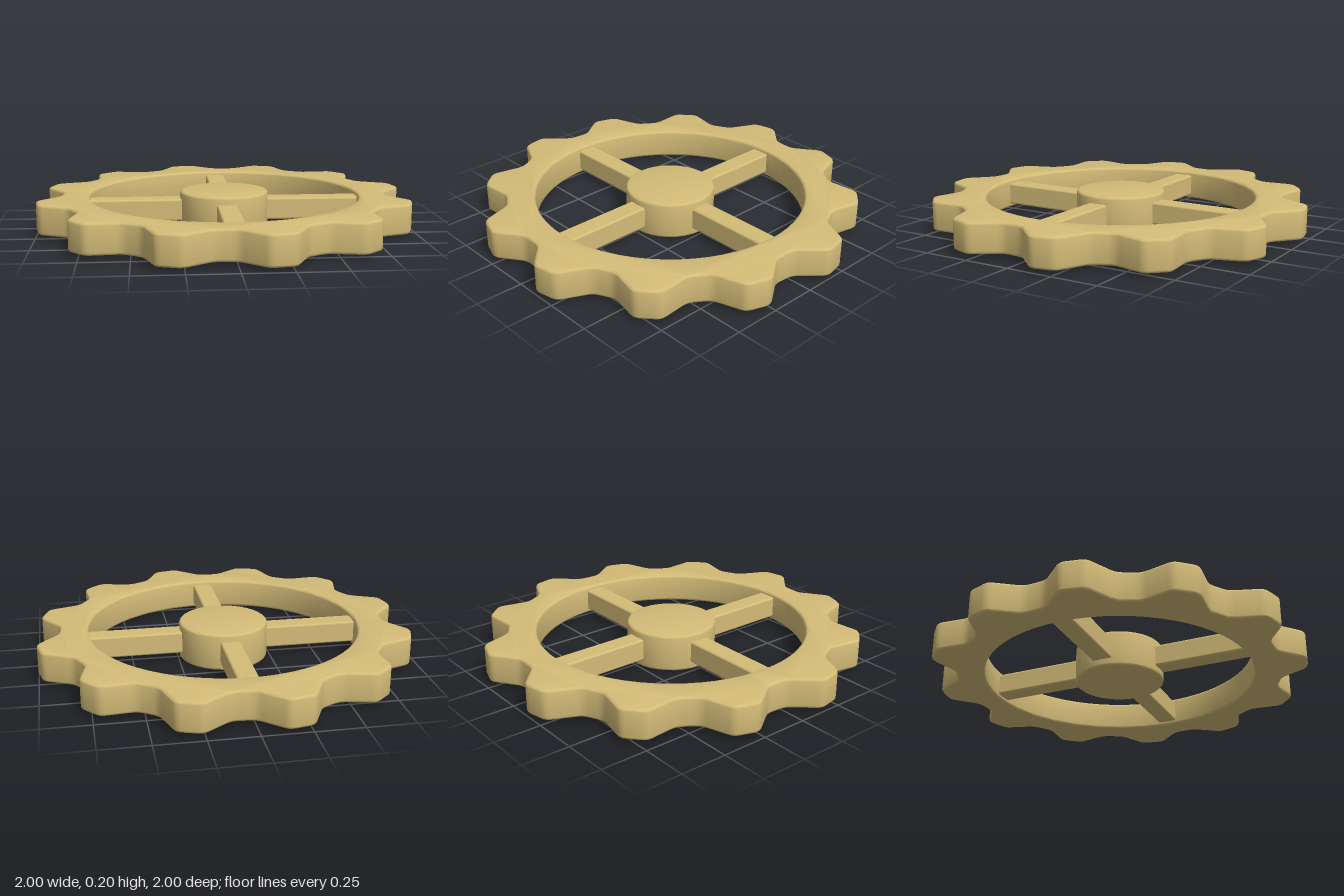
import * as THREE from 'three';
import { toCreasedNormals } from 'three/addons/utils/BufferGeometryUtils.js';
import { RoundedBoxGeometry } from 'three/addons/geometries/RoundedBoxGeometry.js';

const TEETH = 12;
const TIP = 1.015, VALLEY = 0.885, BORE = 0.73;
const BEVEL = 0.014;

// Toothed outline with softened corners: tip and valley each take a quarter of the pitch
function gearShape() {
  const corners = [];
  const step = (Math.PI * 2) / (TEETH * 4);
  for (let i = 0; i < TEETH * 4; i++) {
    const r = i % 4 === 1 || i % 4 === 2 ? TIP : VALLEY;
    corners.push(new THREE.Vector2(Math.cos(i * step), Math.sin(i * step)).multiplyScalar(r));
  }
  const shape = new THREE.Shape();
  corners.forEach((c, i) => {
    const prev = corners.at(i - 1), next = corners[(i + 1) % corners.length];
    const a = c.clone().add(prev.clone().sub(c).setLength(0.03));
    const b = c.clone().add(next.clone().sub(c).setLength(0.03));
    if (i === 0) shape.moveTo(a.x, a.y);
    else shape.lineTo(a.x, a.y);
    shape.quadraticCurveTo(c.x, c.y, b.x, b.y);
  });
  shape.closePath();

  // Round bore
  const bore = new THREE.EllipseCurve(0, 0, BORE, BORE, 0, Math.PI * 2, true);
  shape.holes.push(new THREE.Path(bore.getPoints(64).slice(0, 64)));
  return shape;
}

export function createModel() {
  const brass = new THREE.MeshStandardMaterial({ color: 0xd4bc78 });
  brass.name = 'brass';
  const gear = new THREE.Group();
  gear.name = 'gearWheel';

  const add = (name, geometry) => {
    const mesh = new THREE.Mesh(geometry, brass);
    mesh.name = name;
    gear.add(mesh);
    return mesh;
  };

  // Toothed rim, y 0.02 to 0.18
  const rim = new THREE.ExtrudeGeometry(gearShape(), {
    depth: 0.16 - 2 * BEVEL,
    curveSegments: 3,
    bevelThickness: BEVEL,
    bevelSize: BEVEL,
    bevelOffset: -BEVEL,
    bevelSegments: 3,
  });
  rim.translate(0, 0, 0.02 + BEVEL).rotateX(-Math.PI / 2);
  add('toothedRim', toCreasedNormals(rim, 0.6));

  // Hub drum with rounded edges, y 0 to 0.2
  const profile = [new THREE.Vector2(0, 0)];
  for (const [cy, start] of [[BEVEL, -Math.PI / 2], [0.2 - BEVEL, 0]]) {
    for (let i = 0; i <= 3; i++) {
      const a = start + (i * Math.PI) / 6;
      profile.push(new THREE.Vector2(0.24 - BEVEL + BEVEL * Math.cos(a), cy + BEVEL * Math.sin(a)));
    }
  }
  profile.push(new THREE.Vector2(0, 0.2));
  add('hub', toCreasedNormals(new THREE.LatheGeometry(profile, 32), 0.6));

  // Four spokes, sunk into hub and rim
  const inner = 0.2, outer = 0.75;
  const spoke = new RoundedBoxGeometry(outer - inner, 0.12, 0.11, 2, 0.012);
  spoke.translate((inner + outer) / 2, 0.1, 0);
  for (let i = 0; i < 4; i++) add(`spoke${i + 1}`, spoke).rotation.y = (i * Math.PI) / 2;

  return gear;
}
